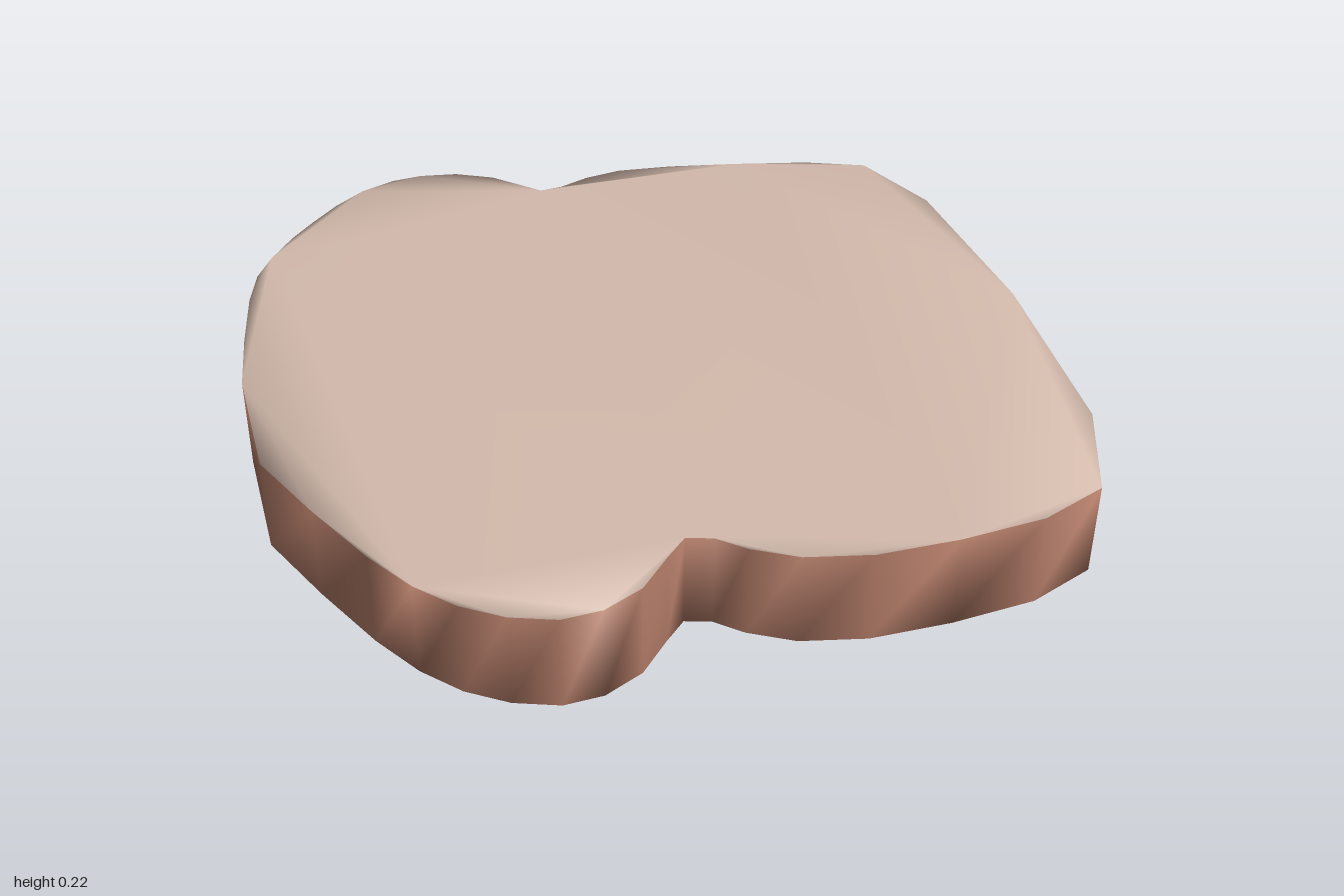
import * as THREE from 'three';

const HEIGHT = 0.225;

// Outline of the slice as x, z pairs, starting at the left notch of the far edge
const OUTLINE = [
  [-0.11, -0.835], [-0.05, -0.82], [0.02, -0.785], [0.13, -0.91], [0.28, -0.905], [0.47, -0.88],
  [0.67, -0.845], [0.83, -0.79], [0.93, -0.54], [0.965, 0], [0.93, 0.555], [0.83, 0.825],
  [0.67, 0.9], [0.47, 0.93], [0.28, 0.94], [0.13, 0.915], [0.03, 0.865], [-0.03, 0.815],
  [-0.09, 0.8], [-0.14, 0.855], [-0.21, 0.94], [-0.3, 0.99], [-0.39, 1], [-0.49, 0.97],
  [-0.58, 0.915], [-0.66, 0.835], [-0.74, 0.72], [-0.84, 0.54], [-0.94, 0.34], [-0.967, 0],
  [-0.955, -0.19], [-0.935, -0.39], [-0.91, -0.51], [-0.87, -0.6], [-0.81, -0.7], [-0.75, -0.78],
  [-0.68, -0.865], [-0.6, -0.94], [-0.51, -0.985], [-0.43, -1], [-0.33, -0.99], [-0.23, -0.945],
];
OUTLINE[2] = [0.03, -0.885];
OUTLINE[1] = [-0.05, -0.845];

export function createModel() {
  const crumb = new THREE.MeshStandardMaterial({ color: 0xd3baac });
  crumb.name = 'pale crumb';
  const crust = new THREE.MeshStandardMaterial({ color: 0xb07a66 });
  crust.name = 'brown crust';

  // Bottom ring, then top ring
  const n = OUTLINE.length;
  const positions = [];
  for (const y of [0, HEIGHT]) {
    for (const [x, z] of OUTLINE) positions.push(x, y, z);
  }

  // Flat faces above and below
  const contour = OUTLINE.map(([x, z]) => new THREE.Vector2(x, z));
  const index = [];
  for (const [a, b, c] of THREE.ShapeUtils.triangulateShape(contour, [])) {
    const ab = contour[b].clone().sub(contour[a]);
    const ac = contour[c].clone().sub(contour[a]);
    const [p, q] = ab.cross(ac) > 0 ? [c, b] : [b, c];
    index.push(a + n, p + n, q + n, a, q, p);
  }
  const faceCount = index.length;

  // Crust wall, sharing its rim with the faces for soft shading
  for (let i = 0; i < n; i++) {
    const j = (i + 1) % n;
    index.push(i, i + n, j, j, i + n, j + n);
  }

  const geometry = new THREE.BufferGeometry();
  geometry.setAttribute('position', new THREE.Float32BufferAttribute(positions, 3));
  geometry.setIndex(index);
  geometry.addGroup(0, faceCount, 0);
  geometry.addGroup(faceCount, index.length - faceCount, 1);
  geometry.computeVertexNormals();

  const slice = new THREE.Mesh(geometry, [crumb, crust]);
  slice.name = 'slice';
  const group = new THREE.Group();
  group.name = 'breadSlice';
  group.add(slice);
  return group;
}
